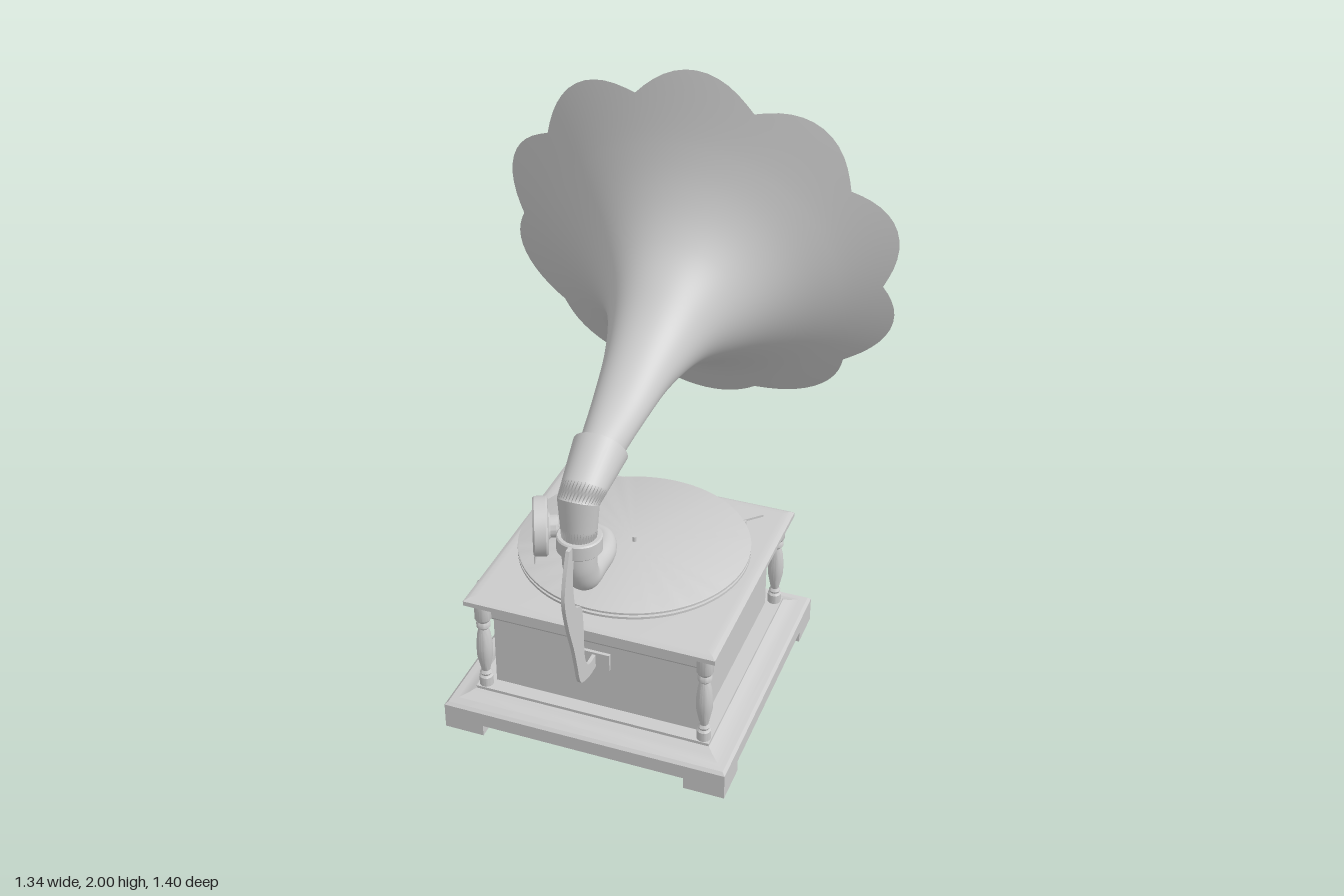
import * as THREE from 'three';
import { toCreasedNormals } from 'three/addons/utils/BufferGeometryUtils.js';
import { ParametricGeometry } from 'three/addons/geometries/ParametricGeometry.js';

const CZ = 0.112; // cabinet centre in z
const grey = new THREE.MeshStandardMaterial({ color: 0xcccccc });
const thin = new THREE.MeshStandardMaterial({ color: 0xcccccc, side: THREE.DoubleSide });
const vec = (p) => new THREE.Vector3(...p);

function add(parent, name, geo, pos = [0, 0, 0], mat = grey) {
  const m = new THREE.Mesh(geo, mat);
  m.name = name;
  m.position.set(...pos);
  parent.add(m);
  return m;
}

// profiles are [radius, y] from bottom to top
function turned(profile, sides = 32) {
  const pts = profile.map(([r, y]) => new THREE.Vector2(r, y));
  return toCreasedNormals(new THREE.LatheGeometry(pts, sides), 0.6);
}

// square moulding: a four-sided lathe, profiles are [half width, y]
function moulding(profile) {
  const pts = profile.map(([w, y]) => new THREE.Vector2(w * Math.SQRT2, y));
  return toCreasedNormals(new THREE.LatheGeometry(pts, 4, Math.PI / 4), 0.4);
}

// surface through elliptical sections [topZ, topY, bottomZ, bottomY, halfWidth];
// an optional scallop trims the far end along the flare
function sectionSurface(sections, around, along, scallop = () => 0) {
  const top = new THREE.CatmullRomCurve3(sections.map((s) => vec([s[4], s[1], s[0]])), false, 'catmullrom');
  const bottom = new THREE.CatmullRomCurve3(sections.map((s) => vec([s[4], s[3], s[2]])), false, 'catmullrom');
  return new ParametricGeometry((u, v, out) => {
    const a = u * Math.PI * 2;
    const t = Math.min(1, Math.max(0, v - scallop(a) * v ** 4));
    const p = top.getPoint(t), q = bottom.getPoint(t);
    const s = Math.sin(a) / 2;
    out.set(
      p.x * Math.cos(a),
      (p.y + q.y) / 2 + (p.y - q.y) * s,
      (p.z + q.z) / 2 + (p.z - q.z) * s
    );
  }, around, along);
}

// tube whose radius follows a list of values
function taperedTube(points, radii, steps, sides) {
  const curve = new THREE.CatmullRomCurve3(points.map(vec));
  const geo = new THREE.TubeGeometry(curve, steps, 1, sides);
  const pos = geo.attributes.position, v = new THREE.Vector3();
  for (let i = 0; i < pos.count; i++) {
    const t = Math.floor(i / (sides + 1)) / steps;
    const f = t * (radii.length - 1), k = Math.min(Math.floor(f), radii.length - 2);
    const r = THREE.MathUtils.lerp(radii[k], radii[k + 1], f - k);
    const c = curve.getPointAt(t);
    v.fromBufferAttribute(pos, i).sub(c).multiplyScalar(r).add(c);
    pos.setXYZ(i, v.x, v.y, v.z);
  }
  return geo;
}

function buildCabinet(root) {
  const g = new THREE.Group();
  g.name = 'cabinet';
  g.position.z = CZ;
  root.add(g);
  add(g, 'basePlinth', moulding([[0, 0.04], [0.48, 0.04], [0.48, 0.09], [0.47, 0.099], [0.445, 0.104],
    [0.42, 0.112], [0.405, 0.12], [0.4, 0.122], [0.4, 0.132], [0, 0.132]]));
  add(g, 'body', new THREE.BoxGeometry(0.7, 0.28, 0.7), [0, 0.265, 0]);
  add(g, 'lid', moulding([[0, 0.39], [0.36, 0.39], [0.365, 0.398], [0.365, 0.44], [0.395, 0.452], [0.405, 0.463],
    [0.42, 0.468], [0.42, 0.484], [0.405, 0.492], [0.385, 0.494], [0, 0.494]]));
  const column = turned([[0, 0.13], [0.023, 0.13], [0.023, 0.165], [0.017, 0.172], [0.02, 0.18], [0.014, 0.19],
    [0.019, 0.215], [0.026, 0.25], [0.027, 0.29], [0.022, 0.335], [0.016, 0.36], [0.023, 0.368], [0.023, 0.38],
    [0.019, 0.388], [0.027, 0.4], [0.027, 0.455], [0, 0.455]], 20);
  for (const x of [-1, 1]) for (const z of [-1, 1]) {
    add(g, 'column', column, [x * 0.375, 0, z * 0.375]);
    add(g, 'foot', new THREE.BoxGeometry(0.135, 0.042, 0.135), [x * 0.4125, 0.021, z * 0.4125]);
  }
}

function buildTurntable(root) {
  const g = new THREE.Group();
  g.name = 'turntable';
  g.position.z = CZ;
  root.add(g);
  add(g, 'hub', new THREE.CylinderGeometry(0.058, 0.058, 0.03, 32), [0, 0.505, 0]);
  add(g, 'platter', turned([[0, 0.514], [0.365, 0.514], [0.38, 0.518], [0.38, 0.526], [0.37, 0.528], [0.37, 0.532],
    [0.38, 0.534], [0.38, 0.541], [0.376, 0.543], [0, 0.543]], 72));
  add(g, 'spindle', new THREE.CylinderGeometry(0.007, 0.007, 0.02, 12), [0, 0.551, 0]);
  // brake lever and speed marks on the deck
  const brake = add(g, 'brakeLever', new THREE.BoxGeometry(0.09, 0.008, 0.014), [0.3, 0.508, -0.305]);
  brake.rotation.y = Math.PI / 4;
  add(g, 'brakePivot', new THREE.CylinderGeometry(0.018, 0.018, 0.016, 16), [0.275, 0.502, -0.28]);
  for (let i = 0; i < 3; i++)
    add(g, 'speedMark', new THREE.CylinderGeometry(0.005, 0.005, 0.006, 8), [-0.31 + i * 0.02, 0.496, -0.315 + i * 0.018]);
}

function buildCrank(root) {
  const g = new THREE.Group();
  g.name = 'crank';
  root.add(g);
  const path = new THREE.CurvePath();
  const corners = [[-0.34, 0.36, 0.135], [-0.455, 0.36, 0.135], [-0.472, 0.342, 0.128],
    [-0.472, 0.195, 0.072], [-0.486, 0.178, 0.065], [-0.52, 0.178, 0.065]].map(vec);
  for (let i = 1; i < corners.length; i++) path.add(new THREE.LineCurve3(corners[i - 1], corners[i]));
  add(g, 'crankRod', new THREE.TubeGeometry(path, 60, 0.008, 10));
  const grip = add(g, 'crankGrip', turned([[0, 0], [0.012, 0], [0.015, 0.012], [0.013, 0.022], [0.019, 0.045],
    [0.02, 0.07], [0.016, 0.095], [0.018, 0.108], [0.01, 0.115], [0, 0.115]], 16), [-0.49, 0.176, 0.065]);
  grip.rotation.z = Math.PI / 2;
}

function buildBracket(root) {
  // flat curved bracket, drawn as (z, y) and turned into the yz plane
  const s = new THREE.Shape();
  s.moveTo(0.61, 0.87);
  s.lineTo(0.656, 0.87);
  s.splineThru([[0.688, 0.785], [0.7, 0.705], [0.677, 0.6], [0.64, 0.49], [0.62, 0.415], [0.598, 0.335], [0.56, 0.31],
    [0.513, 0.298]].map((p) => new THREE.Vector2(...p)));
  s.lineTo(0.455, 0.298);
  s.lineTo(0.455, 0.345);
  s.lineTo(0.513, 0.345);
  s.splineThru([[0.54, 0.36], [0.56, 0.415], [0.564, 0.535], [0.577, 0.61], [0.614, 0.635],
    [0.63, 0.68], [0.635, 0.76], [0.624, 0.82]].map((p) => new THREE.Vector2(...p)));
  const geo = new THREE.ExtrudeGeometry(s, { depth: 0.012, bevelEnabled: false, curveSegments: 32 });
  add(root, 'bracket', geo, [0.006, 0, 0]).rotation.y = -Math.PI / 2;
  const m = root.children[root.children.length - 1];
  m.position.x = 0.006;
  add(root, 'bracketPlate', new THREE.BoxGeometry(0.104, 0.062, 0.014), [0, 0.322, 0.466]);
}

function buildToneArm(root) {
  const g = new THREE.Group();
  g.name = 'toneArm';
  root.add(g);
  add(g, 'armPipe', taperedTube([[0, 0.84, 0.567], [0, 0.76, 0.565], [0, 0.705, 0.535], [0, 0.687, 0.46],
    [0, 0.684, 0.37], [-0.03, 0.683, 0.305], [-0.1, 0.683, 0.286], [-0.18, 0.683, 0.301]],
  [0.053, 0.053, 0.05, 0.043, 0.038, 0.03, 0.024, 0.022], 60, 28));
  add(g, 'collar', turned([[0.05, 0.82], [0.066, 0.82], [0.07, 0.824], [0.07, 0.868], [0.066, 0.872], [0.05, 0.872]], 40),
    [0, 0, 0.565]);
  // mitred elbow in straight pieces, closed by a lip around the horn
  const rings = [[0.62, 0.86, 0.515, 0.86, 0.053], [0.62, 1.02, 0.515, 0.96, 0.064],
    [0.43, 1.145, 0.35, 0.992, 0.086], [0.41, 1.107, 0.37, 1.03, 0.045]];
  for (let i = 0; i < 3; i++)
    add(g, i < 2 ? 'elbow' : 'elbowLip', sectionSurface([rings[i], rings[i + 1]], 40, 2), [0, 0, 0], thin);

  // sound box facing along its own axis, with needle
  const box = new THREE.Group();
  box.name = 'soundBox';
  box.position.set(-0.236, 0.684, 0.326);
  box.quaternion.setFromUnitVectors(vec([0, 1, 0]), vec([0.915, 0, -0.403]).normalize());
  g.add(box);
  add(box, 'soundBoxDisc', turned([[0, -0.016], [0.076, -0.016], [0.08, -0.024], [0.09, -0.024], [0.096, -0.018],
    [0.096, 0.018], [0.09, 0.024], [0.045, 0.026], [0.038, 0.032], [0.038, 0.05], [0.03, 0.058], [0, 0.058]], 40));
  const needle = add(g, 'needle', new THREE.CylinderGeometry(0.005, 0.003, 0.05, 8), [-0.25, 0.572, 0.342]);
  needle.rotation.x = -0.3;
}

function buildHorn(root) {
  const sections = [
    [0.41, 1.13, 0.365, 1.005, 0.068],
    [0.24, 1.19, 0.22, 1.047, 0.09],
    [0.05, 1.29, 0.06, 1.067, 0.12],
    [-0.08, 1.39, -0.13, 1.055, 0.172],
    [-0.18, 1.49, -0.28, 1.003, 0.25],
    [-0.25, 1.61, -0.42, 0.932, 0.355],
    [-0.297, 1.765, -0.55, 0.833, 0.495],
    [-0.333, 2.0, -0.7, 0.665, 0.685],
  ];
  // ten rounded lobes around the rim
  const lobes = (a) => 0.045 * (1 - Math.abs(Math.cos(5 * (a - 1.52))));
  add(root, 'horn', sectionSurface(sections, 120, 56, lobes), [0, 0, 0], thin);
}

export function createModel() {
  const root = new THREE.Group();
  root.name = 'hornRecordPlayer';
  buildCabinet(root);
  buildTurntable(root);
  buildCrank(root);
  buildBracket(root);
  buildToneArm(root);
  buildHorn(root);
  return root;
}
